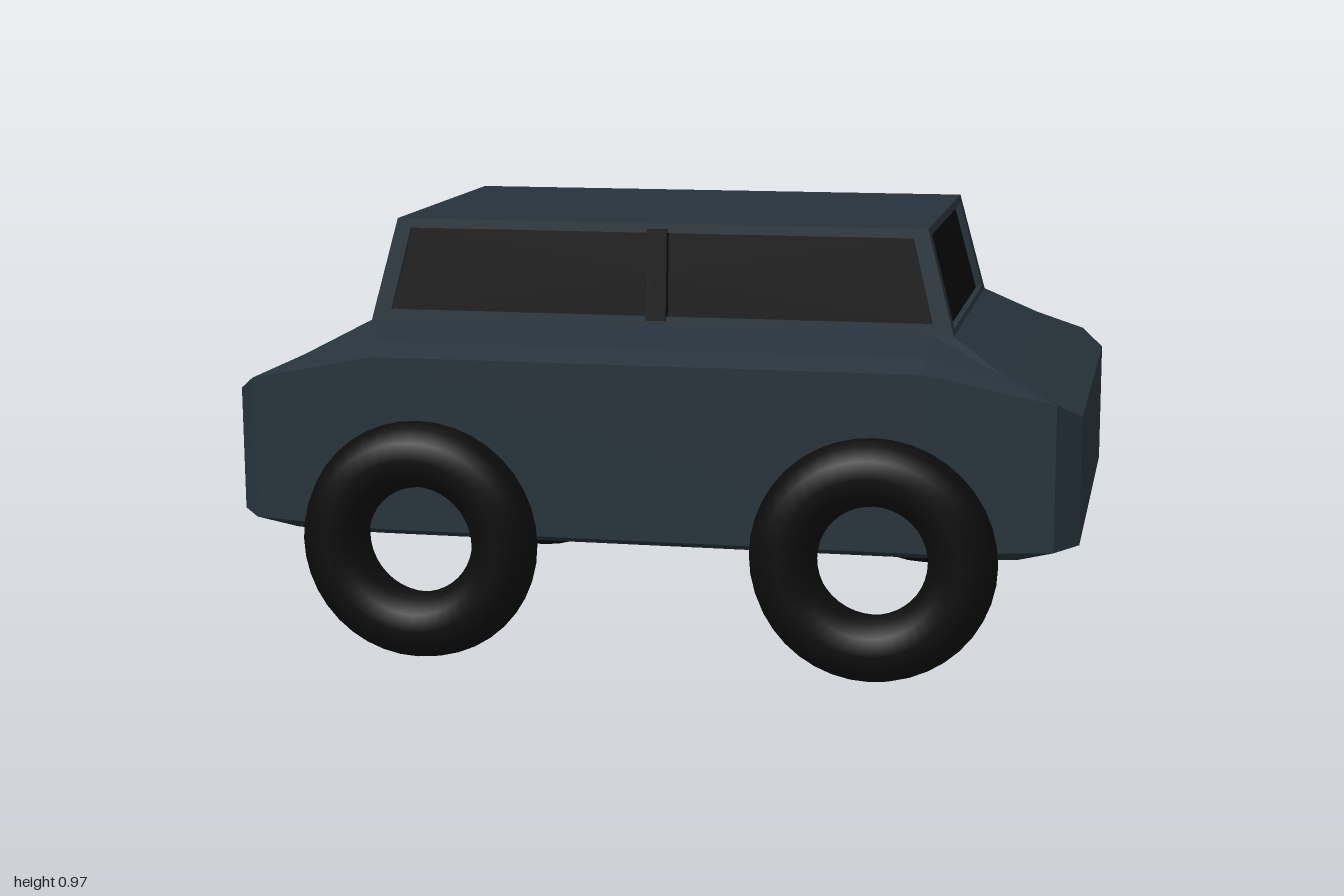
import * as THREE from 'three';

const paint = new THREE.MeshStandardMaterial({ color: 0x26323b });
paint.name = 'dark slate paint';
const rubber = new THREE.MeshStandardMaterial({ color: 0x0c0c0c });
rubber.name = 'black rubber';
const glass = new THREE.MeshStandardMaterial({ color: 0x0a0a0a });
glass.name = 'black glass';

// Skin consecutive loops of points with flat facets; a loop of one repeated point closes an end.
function loft(loops) {
  const pos = [];
  const tri = (...pts) => pts.forEach(p => pos.push(p.x, p.y, p.z));
  for (let k = 0; k + 1 < loops.length; k++) {
    const n = loops[k].length;
    for (let i = 0; i < n; i++) {
      const j = (i + 1) % n;
      const a = loops[k][i], b = loops[k][j], c = loops[k + 1][j], d = loops[k + 1][i];
      if (!c.equals(d)) tri(a, d, c);
      if (!a.equals(b)) tri(a, c, b);
    }
  }
  const g = new THREE.BufferGeometry();
  g.setAttribute('position', new THREE.Float32BufferAttribute(pos, 3));
  g.computeVertexNormals();
  return g;
}

const V = (x, y, z) => new THREE.Vector3(x, y, z);

// A loop of one repeated point at the middle of another loop
function centreOf(loop) {
  const c = V(0, 0, 0);
  loop.forEach(p => c.add(p));
  c.divideScalar(loop.length);
  return loop.map(() => c);
}

// Mirror one quarter (end to side) into a full loop
function mirrorLoop(quarter) {
  const pts = quarter.map(p => V(...p));
  const flip = (list, sx, sz) => list.map(p => V(p.x * sx, p.y, p.z * sz));
  const back = [...pts].reverse();
  return [...pts, ...flip(back, -1, 1), ...flip(pts, -1, -1), ...flip(back, 1, -1)];
}

function add(parent, name, geometry, material) {
  const mesh = new THREE.Mesh(geometry, material);
  mesh.name = name;
  parent.add(mesh);
  return mesh;
}

export function createModel() {
  const model = new THREE.Group();
  model.name = 'car';
  const car = new THREE.Group();
  car.name = 'carAssembly';
  model.add(car);

  // Lower body: floor, sill, rim, hood crease, cabin base
  const hull = [
    [[0.85, 0.28, 0.40], [0.80, 0.28, 0.465], [0.60, 0.28, 0.485]],
    [[0.93, 0.315, 0.45], [0.88, 0.31, 0.51], [0.60, 0.295, 0.512]],
    [[0.93, 0.59, 0.45], [0.88, 0.625, 0.51], [0.60, 0.68, 0.512]],
    [[0.79, 0.665, 0.42], [0.77, 0.67, 0.46], [0.60, 0.706, 0.46]],
    [[0.65, 0.738, 0.365], [0.65, 0.738, 0.365], [0.60, 0.742, 0.365]],
  ].map(mirrorLoop);
  add(car, 'body', loft([centreOf(hull[0]), ...hull]), paint);

  // Cabin: roof plus four window walls with recessed glass
  const rect = (x, y, z) => [V(x, y, -z), V(x, y, z), V(-x, y, z), V(-x, y, -z)];
  const base = rect(0.65, 0.738, 0.365);
  const roof = rect(0.59, 0.965, 0.345);
  add(car, 'roof', loft([roof, centreOf(roof)]), paint);

  ['leftWindow', 'frontWindow', 'rightWindow', 'backWindow'].forEach((name, i) => {
    const j = (i + 1) % 4;
    const isSide = i % 2 === 1;
    const at = (u, v) => base[i].clone().lerp(base[j], u)
      .lerp(roof[i].clone().lerp(roof[j], u), v);
    const [u0, v0, v1] = isSide ? [0.03, 0.11, 0.91] : [0.055, 0.05, 0.93];
    const outer = [at(0, 0), at(1, 0), at(1, 1), at(0, 1)];
    const inner = [at(u0, v0), at(1 - u0, v0), at(1 - u0, v1), at(u0, v1)];
    const inward = outer[1].clone().sub(outer[0])
      .cross(outer[3].clone().sub(outer[0])).normalize();
    const test = centreOf(outer)[0].clone().setY(0);
    if (inward.dot(test) > 0) inward.negate();
    const sunk = inner.map(p => p.clone().addScaledVector(inward, 0.015));
    add(car, name + 'Frame', loft([outer, inner, sunk]), paint);
    add(car, name, loft([sunk, centreOf(sunk)]), glass);
  });

  // Dark pillar dividing each long window
  for (const s of [-1, 1]) {
    const pillar = add(car, 'windowPillar', new THREE.BoxGeometry(0.045, 0.2, 0.022), rubber);
    pillar.position.set(0, 0.853, s * 0.35);
    pillar.rotation.x = -s * 0.089;
  }

  // Ring tyres, open in the middle
  const tyre = new THREE.TorusGeometry(0.192, 0.074, 12, 40);
  for (const sx of [-1, 1]) for (const sz of [-1, 1]) {
    add(car, 'wheel', tyre, rubber).position.set(sx * 0.5, 0.277, sz * 0.517);
  }

  // The car sits turned and very slightly tilted
  car.rotation.set(-0.013, -0.178, 0.004, 'XZY');
  return model;
}
